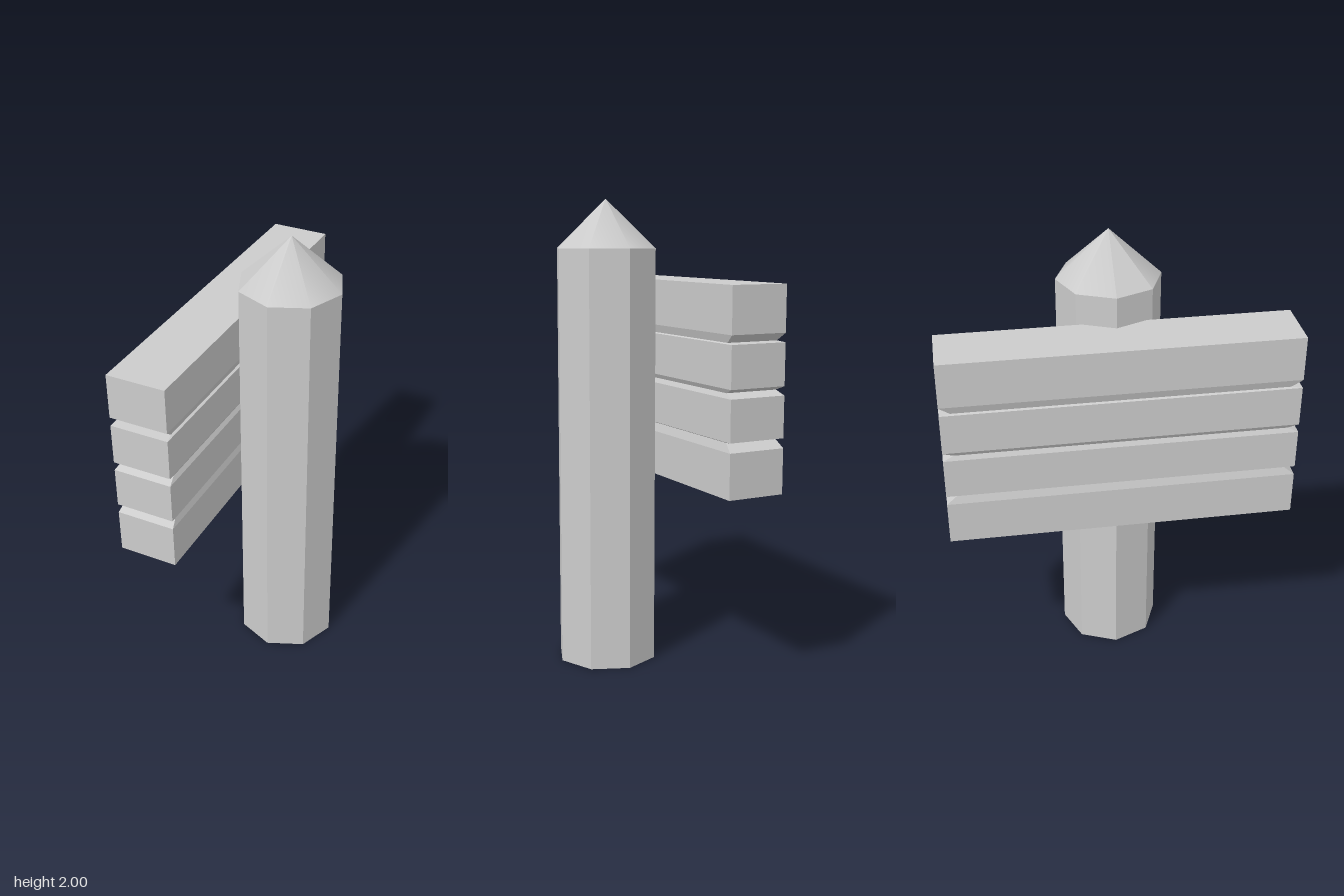
import * as THREE from 'three';

const POST_X = 0.095, POST_R = 0.22, POST_H = 1.795, TIP_H = 0.205;
const flat = new THREE.MeshStandardMaterial({ color: 0xcccccc, flatShading: true });
const smooth = new THREE.MeshStandardMaterial({ color: 0xcccccc });

function addPart(group, name, geometry, material, x, y) {
  const mesh = new THREE.Mesh(geometry, material);
  mesh.name = name;
  mesh.position.set(x, y, 0);
  group.add(mesh);
}

// Block with horizontal notches: each box row takes a height and an inset
function notchedBoard() {
  const halfX = 0.125, halfZ = 0.73, insetX = 0.01, insetZ = 0.045;
  const rows = [
    [1.665, 0],
    [1.475, 0], [1.442, 1], [1.438, 0],
    [1.265, 0], [1.247, 1], [1.228, 0],
    [1.057, 0], [1.052, 1], [1.017, 0],
    [0.83, 0],
  ];
  const n = rows.length - 1;
  const geometry = new THREE.BoxGeometry(2, n, 2, 1, n, 1);
  const p = geometry.attributes.position;
  for (let i = 0; i < p.count; i++) {
    const [y, inset] = rows[Math.round(n / 2 - p.getY(i))];
    p.setXYZ(i, p.getX(i) * (halfX - inset * insetX), y, p.getZ(i) * (halfZ - inset * insetZ));
  }
  geometry.computeVertexNormals();
  return geometry;
}

export function createModel() {
  const group = new THREE.Group();
  group.name = 'signpost';

  // Eight-sided post
  addPart(group, 'post', new THREE.CylinderGeometry(POST_R, POST_R, POST_H, 8), flat, POST_X, POST_H / 2);

  // Pointed top: seven smooth sides and one flat side
  const tip = (start, length, sides) =>
    new THREE.ConeGeometry(POST_R, TIP_H, sides, 1, true, start, length);
  const tipY = POST_H + TIP_H / 2;
  addPart(group, 'tip', tip(-Math.PI / 4, Math.PI * 1.75, 7), smooth, POST_X, tipY);
  addPart(group, 'tipFlatSide', tip(-Math.PI / 2, Math.PI / 4, 1), flat, POST_X, tipY);

  // Stack of planks, joined by notches
  addPart(group, 'planks', notchedBoard(), flat, -0.195, 0);
  return group;
}
